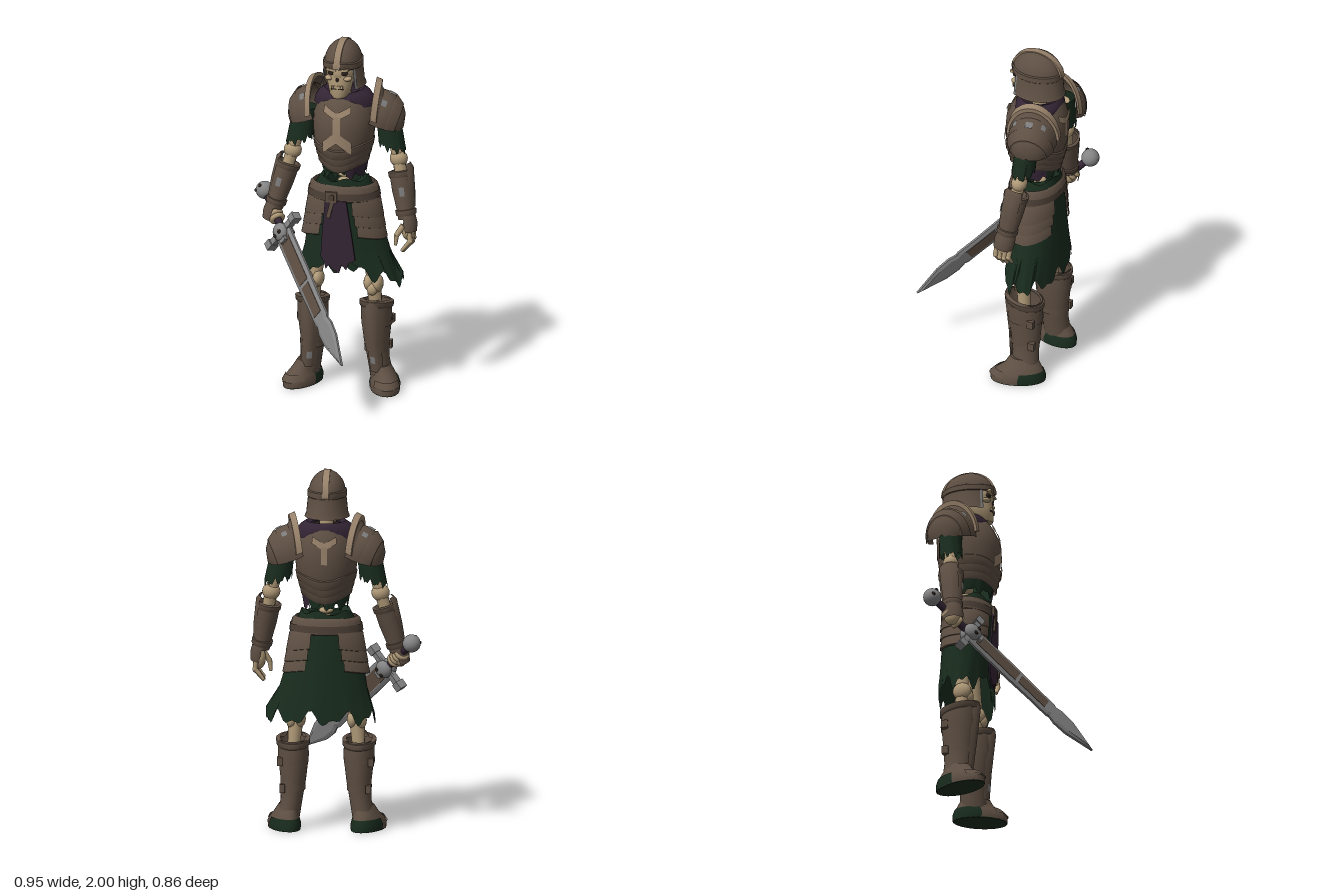
import * as THREE from 'three';
import { toCreasedNormals } from 'three/addons/utils/BufferGeometryUtils.js';

const colour = (name, hex) => new THREE.MeshStandardMaterial({ name, color: hex, side: THREE.DoubleSide });
const PI = Math.PI, CX = 0.045;
const V = (x, y, z) => new THREE.Vector3(x, y, z);

export function createModel() {
  const armour = colour('brown armour', 0x5e4f43), leather = colour('dark leather', 0x4c3f36);
  const bone = colour('bone', 0xb09a78), trim = colour('tan trim', 0x97816a);
  const green = colour('green cloth', 0x192c1e), purple = colour('purple cloth', 0x342535);
  const steel = colour('steel', 0x858585), worn = colour('worn metal', 0x7b7b7b), dark = colour('dark hollow', 0x2a201a);
  const root = new THREE.Group();
  root.name = 'skeletonKnight';

  const add = (geo, mat, name, parent = root) => {
    const m = new THREE.Mesh(geo, mat);
    m.name = name;
    parent.add(m);
    return m;
  };
  const group = (name, parent = root) => {
    const g = new THREE.Group();
    g.name = name;
    parent.add(g);
    return g;
  };
  // Surface through elliptical rings [y, rx, rz, cx, cz]; angle 0 is the front, PI/2 is +x
  function loft(rings, { n = 28, a0 = 0, a1 = 2 * PI, caps = false, dy = () => 0, crease = 0.75 } = {}) {
    const full = a1 - a0 > 6.28, cols = full ? n : n + 1, pos = [], idx = [];
    rings.forEach(([y, rx, rz, cx = 0, cz = 0], i) => {
      for (let j = 0; j < cols; j++) {
        const a = a0 + (a1 - a0) * j / n;
        pos.push(cx + rx * Math.sin(a), y + dy(a, i), cz + rz * Math.cos(a));
      }
    });
    for (let i = 0; i < rings.length - 1; i++) for (let j = 0; j < n; j++) {
      const k = (j + 1) % cols, p = i * cols, q = p + cols;
      idx.push(p + j, p + k, q + k, p + j, q + k, q + j);
    }
    if (caps) for (const i of [0, rings.length - 1]) {
      const [y, , , cx = 0, cz = 0] = rings[i], c = pos.length / 3, p = i * cols;
      pos.push(cx, y, cz);
      for (let j = 0; j < n; j++) {
        const k = (j + 1) % cols;
        idx.push(c, i ? p + j : p + k, i ? p + k : p + j);
      }
    }
    const g = new THREE.BufferGeometry();
    g.setAttribute('position', new THREE.Float32BufferAttribute(pos, 3));
    g.setIndex(idx);
    return toCreasedNormals(g, crease);
  }
  const ball = (p, s, mat, name, parent) => {
    const m = add(new THREE.SphereGeometry(1, 18, 12), mat, name, parent);
    m.position.copy(p);
    m.scale.set(...s);
    return m;
  };
  const box = (p, s, mat, name, parent) => {
    const m = add(new THREE.BoxGeometry(...s), mat, name, parent);
    m.position.copy(p);
    return m;
  };
  const along = (o, a, b) => {
    o.position.copy(a);
    o.quaternion.setFromUnitVectors(V(0, 1, 0), b.clone().sub(a).normalize());
    return o;
  };
  const rod = (a, b, ra, rb, mat, name, parent) => {
    const L = a.distanceTo(b);
    return along(add(new THREE.CylinderGeometry(rb, ra, L, 10).translate(0, L / 2, 0), mat, name, parent), a, b);
  };
  const rag = (amp) => (a, i) => i ? 0 : amp * (Math.sin(a * 9) + 0.7 * Math.sin(a * 17 + 1));
  const front = (a) => Math.max(0, Math.cos(a)) ** 4;

  // Head: skull in an open helmet
  const head = group('head');
  head.position.set(0.04, 0, 0);
  ball(V(0, 1.84, -0.22), [0.09, 0.09, 0.122], bone, 'skull', head);
  add(loft([[1.695, 0.038, 0.05, 0, -0.152], [1.712, 0.056, 0.065, 0, -0.162], [1.77, 0.07, 0.077, 0, -0.174], [1.83, 0.08, 0.08, 0, -0.183]], { n: 16, caps: true }), bone, 'jaw', head);
  for (const s of [-1, 1]) {
    ball(V(s * 0.035, 1.84, -0.118), [0.022, 0.013, 0.016], dark, 'eyeSocket', head);
    ball(V(s * 0.052, 1.808, -0.13), [0.024, 0.014, 0.03], bone, 'cheekbone', head);
    box(V(s * 0.035, 1.86, -0.108), [0.055, 0.014, 0.025], bone, 'browRidge', head).rotation.z = s * 0.2;
  }
  ball(V(0, 1.805, -0.104), [0.009, 0.013, 0.01], dark, 'noseHole', head);
  box(V(0, 1.752, -0.108), [0.066, 0.006, 0.02], dark, 'mouth', head);
  for (let i = -2; i <= 2; i++) box(V(i * 0.013, 1.764, -0.099), [0.01, 0.014, 0.008], bone, 'tooth', head);
  add(new THREE.SphereGeometry(1, 28, 10, 0, 2 * PI, 0, PI / 2).scale(0.102, 0.128, 0.142).translate(0, 1.87, -0.235), armour, 'helmetDome', head);
  add(loft([[1.855, 0.104, 0.144, 0, -0.235], [1.86, 0.109, 0.148, 0, -0.235], [1.89, 0.108, 0.147, 0, -0.235], [1.895, 0.1, 0.14, 0, -0.235]], { dy: a => 0.012 * front(a) }), armour, 'browBand', head);
  add(loft([[1.745, 0.124, 0.155, 0, -0.238], [1.765, 0.115, 0.15, 0, -0.236], [1.87, 0.104, 0.144, 0, -0.235]], { a0: 0.86, a1: 2 * PI - 0.86 }), armour, 'neckGuard', head);
  for (const s of [-1, 1]) add(loft([[1.745, 0.126, 0.158, 0, -0.237], [1.86, 0.107, 0.147, 0, -0.235]], { n: 3, a0: s * 0.9 - 0.06, a1: s * 0.9 + 0.06 }), worn, 'cheekRim', head);
  const crest = new THREE.Shape().absellipse(0, 0, 0.152, 0.133, 0, PI, false);
  add(new THREE.ExtrudeGeometry(crest, { depth: 0.038, bevelEnabled: false, curveSegments: 20 }).rotateY(-PI / 2).translate(0.019, 1.868, -0.235), trim, 'helmetCrest', head);
  rod(V(CX, 1.6, -0.25), V(0.04, 1.8, -0.24), 0.04, 0.04, bone, 'neck');

  // Torso: cuirass, overlapping lames, shirt and scarf
  const torso = group('torso');
  torso.position.x = CX;
  add(loft([[1.38, 0.152, 0.155, 0, -0.23], [1.44, 0.164, 0.17, 0, -0.232], [1.51, 0.172, 0.175, 0, -0.235], [1.58, 0.168, 0.173, 0, -0.238], [1.65, 0.143, 0.15, 0, -0.246], [1.69, 0.11, 0.128, 0, -0.25], [1.7, 0.08, 0.09, 0, -0.25]]), armour, 'cuirass', torso);
  for (let i = 0; i < 3; i++) {
    const y = 1.31 + i * 0.04, r = 0.14 + i * 0.011;
    add(loft([[y, r - 0.005, r, 0, -0.228], [y + 0.006, r, r + 0.005, 0, -0.228], [y + 0.05, r + 0.008, r + 0.011, 0, -0.23], [y + 0.056, r, r + 0.005, 0, -0.23]],
      { dy: a => -0.04 * Math.abs(Math.cos(a)) ** 4 }), armour, 'waistLame', torso);
  }
  add(loft([[1.47, 0.176, 0.178, 0, -0.234], [1.53, 0.178, 0.18, 0, -0.235], [1.6, 0.171, 0.174, 0, -0.239]], { n: 8, a0: -0.12, a1: 0.12 }), trim, 'breastTrim', torso);
  add(loft([[1.45, 0.176, 0.18, 0, -0.233], [1.515, 0.178, 0.18, 0, -0.235]], { n: 12, a0: -0.48, a1: 0.48, dy: a => -0.13 * Math.abs(a) }), trim, 'breastChevron', torso);
  // Forked upper trim on chest and back
  for (const [m, w] of [[0, 0.48], [PI, 0.42]]) for (const s of [-1, 1]) {
    const a = m + s * w / 2;
    add(loft([[1.58, 0.17, 0.176, 0, -0.238], [1.618, 0.159, 0.166, 0, -0.242]], { n: 8, a0: a - w / 2, a1: a + w / 2, dy: t => 0.09 * Math.abs(t - m) }), trim, 'yokeTrim', torso);
  }
  add(loft([[1.5, 0.176, 0.179, 0, -0.235], [1.6, 0.17, 0.175, 0, -0.239]], { n: 8, a0: PI - 0.09, a1: PI + 0.09 }), trim, 'backTrim', torso);
  add(loft([[1.25, 0.116, 0.122, 0, -0.235], [1.32, 0.132, 0.135, 0, -0.232], [1.42, 0.145, 0.15, 0, -0.23]], { n: 72, dy: rag(0.016) }), green, 'shirt', torso);
  add(loft([[1.24, 0.121, 0.127, 0, -0.235], [1.33, 0.137, 0.14, 0, -0.232]], { n: 24, a0: 0.35, a1: 2.4, dy: rag(0.012) }), purple, 'sash', torso);
  add(loft([[1.635, 0.17, 0.125, 0, -0.25], [1.67, 0.163, 0.13, 0, -0.25], [1.7, 0.142, 0.128, 0, -0.25], [1.722, 0.11, 0.11, 0, -0.25], [1.71, 0.08, 0.085, 0, -0.25]], { dy: a => -0.01 * front(a) }), purple, 'scarf', torso);
  for (let i = 0; i < 7; i++) ball(V(0, 1.1 + i * 0.04, -0.25), [0.04, 0.018, 0.04], bone, 'vertebra', torso);

  // Hips: belt, tassets, skirt and tabard
  const hips = group('hips');
  hips.position.x = CX;
  add(loft([[0.635, 0.3, 0.144, 0.03, -0.255], [0.8, 0.24, 0.14, 0.015, -0.25], [1.0, 0.195, 0.134, 0, -0.243], [1.17, 0.16, 0.13, 0, -0.235], [1.22, 0.135, 0.12, 0, -0.235], [1.205, 0.09, 0.09, 0, -0.235]],
    { n: 96, dy: (a, i) => i === 0 ? rag(0.03)(a, 0) + 0.1 * front(a) : i === 4 ? 0.012 * Math.sin(a * 5) : 0 }), green, 'skirt', hips);
  add(loft([[1.1, 0.19, 0.142, 0, -0.235], [1.105, 0.2, 0.148, 0, -0.235], [1.175, 0.188, 0.144, 0, -0.235], [1.19, 0.17, 0.13, 0, -0.235]]), armour, 'hipBand', hips);
  add(loft([[1.112, 0.204, 0.152, 0, -0.235], [1.15, 0.198, 0.15, 0, -0.235]]), leather, 'belt', hips);
  box(V(-0.035, 1.13, -0.083), [0.065, 0.06, 0.016], armour, 'buckle', hips);
  box(V(-0.035, 1.13, -0.079), [0.035, 0.032, 0.016], leather, 'buckleBar', hips);
  box(V(-0.04, 1.06, -0.08), [0.022, 0.1, 0.01], armour, 'beltEnd', hips).rotation.z = -0.25;
  for (const s of [-1, 1]) for (let i = 0; i < 3; i++) {
    const y = 0.995 - i * 0.06, r = 0.217 + i * 0.01, m = s * PI / 2;
    add(loft([[y - 0.005, r - 0.006, 0.14, 0, -0.24], [y, r + 0.004, 0.15, 0, -0.24], [y + 0.1 - i * 0.01, r - 0.014, 0.144, 0, -0.238], [y + 0.11 - i * 0.01, r - 0.024, 0.136, 0, -0.238]],
      { n: 18, a0: m - 1.2 + i * 0.05, a1: m + 1.2 - i * 0.05, dy: a => 0.035 * Math.cos(a) ** 2 }), armour, 'tasset', hips);
  }
  const tabard = new THREE.Shape([[-0.025, 1.11], [-0.045, 0.9], [-0.053, 0.78], [-0.035, 0.75], [-0.025, 0.71], [-0.005, 0.735], [0.01, 0.71], [0.05, 0.69], [0.065, 0.74], [0.09, 0.71], [0.105, 0.75], [0.142, 0.77], [0.125, 0.9], [0.095, 1.11]].map(p => new THREE.Vector2(...p)));
  add(new THREE.ExtrudeGeometry(tabard, { depth: 0.009, bevelEnabled: false }).translate(0, -1.11, 0).rotateX(0.04).translate(0, 1.11, -0.091), purple, 'tabard');

  // Legs: bones, greaves and boots
  for (const s of [-1, 1]) {
    const leg = group(s > 0 ? 'leftLeg' : 'rightLeg'), P = (d, y, z) => V(CX + s * d, y, z);
    rod(P(0.1, 1.0, -0.25), P(0.165, 0.62, -0.235), 0.04, 0.036, bone, 'thighBone', leg);
    ball(P(0.145, 0.61, -0.23), [0.032, 0.05, 0.052], bone, 'kneeJoint', leg);
    ball(P(0.19, 0.605, -0.23), [0.032, 0.05, 0.052], bone, 'kneeJoint', leg);
    ball(P(0.168, 0.58, -0.195), [0.03, 0.035, 0.025], bone, 'kneecap', leg);
    rod(P(0.168, 0.6, -0.23), P(0.18, 0.45, -0.24), 0.042, 0.035, bone, 'shinBone', leg);
    const ring = (y, rx, rz, d, cz) => [y, rx, rz, CX + s * d, cz];
    add(loft([ring(0.06, 0.062, 0.078, 0.208, -0.258), ring(0.17, 0.06, 0.074, 0.189, -0.254), ring(0.28, 0.07, 0.086, 0.18, -0.25), ring(0.41, 0.085, 0.101, 0.18, -0.247), ring(0.5, 0.083, 0.102, 0.181, -0.244)]), armour, 'greave', leg);
    add(loft([ring(0.47, 0.085, 0.104, 0.181, -0.244), ring(0.478, 0.092, 0.111, 0.181, -0.244), ring(0.505, 0.094, 0.112, 0.182, -0.243), ring(0.51, 0.07, 0.09, 0.182, -0.243)], { dy: a => 0.018 * Math.cos(a) }), armour, 'greaveCuff', leg);
    for (const [y, rx, rz] of [[0.37, 0.084, 0.1], [0.22, 0.067, 0.084]]) {
      add(loft([ring(y, rx, rz, 0.182, -0.248), ring(y + 0.03, rx + 0.002, rz + 0.002, 0.182, -0.248)], { a0: 0.6, a1: 2 * PI - 0.6 }), armour, 'strap', leg);
      box(P(0.183 + rx * 0.8, y + 0.015, -0.312), [0.03, 0.045, 0.035], armour, 'strapBuckle', leg);
    }
    add(loft([ring(0.11, 0.055, 0.084, 0.198, -0.252), ring(0.28, 0.06, 0.098, 0.181, -0.249), ring(0.5, 0.07, 0.116, 0.181, -0.243), ring(0.535, 0.05, 0.108, 0.181, -0.243)], { n: 10, a0: -0.75, a1: 0.75 }), armour, 'shinPlate', leg);
    add(loft([ring(0.16, 0.06, 0.09, 0.193, -0.252), ring(0.2, 0.06, 0.093, 0.189, -0.251)], { n: 5, a0: -s * 0.2 - 0.24, a1: -s * 0.2 + 0.24 }), worn, 'wornAnkle', leg);
    const foot = group('foot', leg);
    foot.position.copy(P(0.224, 0, -0.25));
    foot.rotation.y = s * 0.36;
    add(loft([[0.004, 0.08, 0.15, 0, 0.025], [0.035, 0.083, 0.151, 0, 0.025], [0.065, 0.073, 0.13, 0, 0.015], [0.095, 0.062, 0.1, -s * 0.004, 0], [0.14, 0.054, 0.072, -s * 0.02, -0.004]], { caps: true }), armour, 'boot', foot);
    add(loft([[0, 0.079, 0.148, 0, 0.025], [0.006, 0.08, 0.15, 0, 0.025]], { caps: true }), green, 'sole', foot);
    add(loft([[0.003, 0.083, 0.153, 0, 0.025], [0.036, 0.086, 0.154, 0, 0.025], [0.068, 0.076, 0.134, 0, 0.016]], { n: 18, a0: PI - 1.55, a1: PI + 1.55 }), green, 'heel', foot);
    add(loft([[0.04, 0.086, 0.156, 0, 0.025], [0.072, 0.075, 0.13, 0, 0.018]], { n: 14, a0: -1, a1: 1 }), armour, 'toePlate', foot);
  }

  // Arms: pauldron, sleeve, bones and vambrace
  const wrists = { '-1': V(-0.35, 1.0, -0.235), 1: V(0.405, 1.0, -0.215) };
  for (const s of [-1, 1]) {
    const arm = group(s > 0 ? 'leftArm' : 'rightArm'), P = (d, y, z) => V(CX + s * d, y, z);
    const yaw = group('pauldron', arm);
    yaw.position.copy(P(0.12, 1.565, -0.28));
    yaw.rotation.y = s * 0.18;
    const pad = group('pauldronPlates', yaw), m = -s * PI / 2;
    pad.rotation.z = -s * (PI / 2 + 0.36);
    const arc = { n: 26, a0: m - 1.65, a1: m + 1.65 };
    // The crest ends sweep outward over the dome
    const swept = { n: 26, a0: m - 1.5, a1: m + 1.5, dy: a => 0.02 * (a - m) ** 2 };
    add(loft([[0.02, 0.16, 0.128], [0.07, 0.163, 0.135], [0.12, 0.15, 0.124], [0.165, 0.118, 0.1], [0.195, 0.075, 0.068], [0.21, 0.01, 0.01]], arc), armour, 'shoulderDome', pad);
    add(loft([[-0.02, 0.205, 0.146], [0.04, 0.158, 0.126]], swept), armour, 'crestFlange', pad);
    add(loft([[-0.02, 0.19, 0.136], [-0.026, 0.212, 0.15], [0.01, 0.21, 0.15], [0.014, 0.182, 0.136]], swept), trim, 'pauldronCrest', pad);
    add(loft([[0.11, 0.158, 0.132], [0.117, 0.158, 0.132], [0.167, 0.122, 0.104], [0.169, 0.112, 0.096]], arc), armour, 'pauldronLame', pad);
    for (const [o, w, u0, u1] of [[0, 0.15, 0.07, 0.107], [s * 0.75, 0.12, 0.045, 0.075], [-s * 0.6, 0.1, 0.06, 0.09]])
      add(loft([[u0, 0.167, 0.139], [u1, 0.163, 0.136]], { n: 6, a0: m + o - w, a1: m + o + w }), worn, 'wornPatch', pad);
    add(loft([[1.39, 0.076, 0.064, CX + s * 0.262, -0.275], [1.47, 0.07, 0.062, CX + s * 0.25, -0.28], [1.58, 0.068, 0.062, CX + s * 0.23, -0.28]],
      { n: 48, dy: (a, i) => i ? 0 : rag(0.014)(a, 0) - s * 0.02 * Math.sin(a) }), green, 'sleeve', arm);
    const elbow = P(0.3, 1.325, -0.268), wrist = wrists[s];
    rod(P(0.24, 1.55, -0.28), elbow, 0.034, 0.034, bone, 'upperArmBone', arm);
    ball(elbow, [0.05, 0.048, 0.044], bone, 'elbowJoint', arm);
    rod(elbow, wrist, 0.036, 0.03, bone, 'forearmBone', arm);
    const vam = along(group('vambrace', arm), wrist, elbow);
    add(loft([[0.0, 0.048, 0.052], [0.06, 0.05, 0.054], [0.16, 0.06, 0.064], [0.25, 0.062, 0.067]]), armour, 'forearmPlate', vam);
    for (const [y, r] of [[0.02, 0.053], [0.235, 0.064]])
      add(loft([[y, r, r + 0.003], [y + 0.005, r + 0.004, r + 0.006], [y + 0.03, r + 0.005, r + 0.007], [y + 0.035, r - 0.01, r - 0.008]]), armour, 'vambraceBand', vam);
    add(loft([[0.06, 0.054, 0.058], [0.15, 0.066, 0.068], [0.28, 0.075, 0.074], [0.305, 0.062, 0.062]], { n: 12, a0: s * PI / 2 - 0.8, a1: s * PI / 2 + 0.8 }), armour, 'outerPlate', vam);
    add(loft([[0.13, 0.063, 0.066], [0.18, 0.066, 0.069]], { n: 5, a0: s * 0.15 - 0.22, a1: s * 0.15 + 0.22 }), worn, 'wornVambrace', vam);
    add(loft([[-0.075, 0.045, 0.055], [-0.03, 0.054, 0.06], [0.015, 0.05, 0.054]], { n: 16, a0: s * PI / 2 - 1.7, a1: s * PI / 2 + 1.7 }), armour, 'handGuard', vam);
  }

  // Left hand hangs open, right hand closes on the grip
  const leftHand = group('leftHand'), rightHand = group('rightHand');
  ball(V(0.415, 0.94, -0.208), [0.036, 0.06, 0.052], bone, 'palm', leftHand);
  for (let i = 0; i < 4; i++) {
    const z = -0.25 + i * 0.026, drop = 0.01 * Math.abs(i - 1.5), k = V(0.43, 0.93, z), mid = V(0.435, 0.87 + drop, z + 0.006), tip = V(0.388, 0.812 + drop, z + 0.008);
    rod(k, mid, 0.015, 0.014, bone, 'finger', leftHand);
    ball(mid, [0.016, 0.016, 0.015], bone, 'knuckle', leftHand);
    rod(mid, tip, 0.014, 0.009, bone, 'fingertip', leftHand);
  }
  rod(V(0.395, 0.97, -0.175), V(0.36, 0.915, -0.16), 0.018, 0.015, bone, 'thumb', leftHand);
  rod(V(0.36, 0.915, -0.16), V(0.355, 0.86, -0.158), 0.015, 0.009, bone, 'thumbTip', leftHand);
  ball(V(-0.365, 0.96, -0.235), [0.035, 0.052, 0.045], bone, 'palm', rightHand);

  // Sword: local x along the guard, y towards the tip
  const sword = group('sword'), d = V(0.635, -0.72, 0.75).normalize(), g = V(0.595, 0.77, 0.235);
  g.addScaledVector(d, -g.dot(d)).normalize();
  sword.quaternion.setFromRotationMatrix(new THREE.Matrix4().makeBasis(g, d, g.clone().cross(d)));
  sword.position.set(-0.43, 1.055, -0.33);
  ball(V(0, 0, 0), [0.05, 0.05, 0.05], steel, 'pommel', sword);
  for (const s of [-1, 1]) ball(V(s * 0.02, -0.012, -0.042), [0.01, 0.011, 0.008], dark, 'pommelHollow', sword);
  rod(V(0, 0.03, 0), V(0, 0.28, 0), 0.02, 0.022, purple, 'grip', sword);
  for (let i = 0; i < 4; i++) {
    const f = add(new THREE.TorusGeometry(0.031, 0.014, 8, 14).rotateX(PI / 2), bone, 'grippingFinger', rightHand);
    f.position.set(-0.43, 1.055, -0.33).addScaledVector(d, 0.115 + i * 0.027);
    f.quaternion.copy(sword.quaternion);
  }
  box(V(0, 0.288, 0), [0.25, 0.034, 0.036], steel, 'crossGuard', sword);
  for (const s of [-1, 1]) {
    box(V(s * 0.122, 0.286, 0), [0.045, 0.046, 0.052], steel, 'guardEnd', sword);
    ball(V(0, 0.292, s * 0.022), [0.05, 0.052, 0.034], steel, 'guardSkull', sword);
    box(V(0, 0.342, s * 0.02), [0.045, 0.035, 0.03], steel, 'guardSkullJaw', sword);
    for (const e of [-1, 1]) ball(V(e * 0.02, 0.305, s * 0.05), [0.011, 0.012, 0.008], dark, 'guardSkullEye', sword);
  }
  const half = [[0.044, 0.29], [0.044, 0.6], [0.037, 0.78], [0.038, 0.89], [0.028, 0.91], [0.042, 0.96], [0.037, 1.04]];
  const outline = [...half, [0, 1.19], ...half.map(([x, y]) => [-x, y]).reverse()].map(p => new THREE.Vector2(...p));
  add(new THREE.ExtrudeGeometry(new THREE.Shape(outline), { depth: 0.012, bevelSize: 0.02, bevelThickness: 0.007, bevelSegments: 1 }).translate(0, 0, -0.006), steel, 'blade', sword);
  for (const s of [-1, 1]) for (const [y, L, w] of [[0.49, 0.3, 0.078], [0.76, 0.2, 0.066]])
    box(V(0, y, s * 0.0135), [w, L, 0.004], armour, 'rustPanel', sword);
  return root;
}
